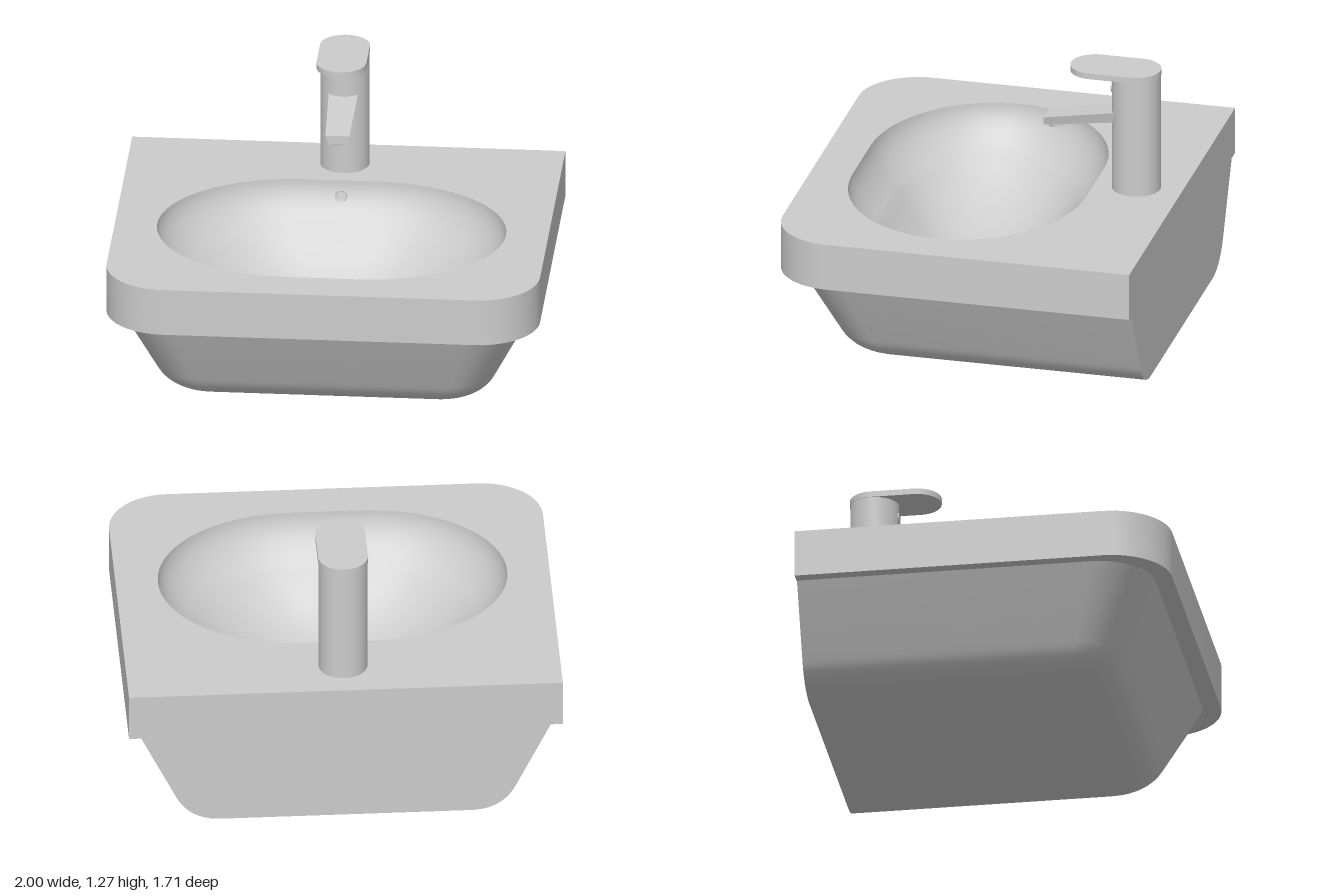
import * as THREE from 'three';
import { toCreasedNormals } from 'three/addons/utils/BufferGeometryUtils.js';

const material = new THREE.MeshStandardMaterial({ color: 0xcccccc });

function addMesh(parent, name, geometry) {
  const mesh = new THREE.Mesh(geometry, material);
  mesh.name = name;
  parent.add(mesh);
  return mesh;
}

// Skin a list of closed rings that all have the same number of points
function loft(rings, crease = 0.5) {
  const n = rings[0].length;
  const index = [];
  for (let i = 0; i < rings.length - 1; i++) {
    for (let j = 0; j < n; j++) {
      const a = i * n + j, b = i * n + (j + 1) % n;
      const d = a + n, c = b + n;
      if (!rings[i + 1][j].equals(rings[i + 1][(j + 1) % n])) index.push(a, d, c);
      if (!rings[i][j].equals(rings[i][(j + 1) % n])) index.push(a, c, b);
    }
  }
  const geometry = new THREE.BufferGeometry().setFromPoints(rings.flat());
  geometry.setIndex(index);
  return toCreasedNormals(geometry, crease);
}

// Oval with elliptical ends and short straight front and back
const BOWL_Z = 0.11;
function ovalRing(half, rx, rz, y) {
  const points = [];
  for (const side of [0, 1]) {
    for (let i = 0; i <= 32; i++) {
      const a = -Math.PI / 2 + Math.PI * (side + i / 32);
      const x = (side ? -half : half) + rx * Math.cos(a);
      points.push(new THREE.Vector3(x, y, BOWL_Z + rz * Math.sin(a)));
    }
  }
  return points;
}

// Outline with a square back and two rounded front corners
function frontRounded(w, back, front, r, y) {
  const points = [new THREE.Vector3(w, y, back)];
  for (const side of [0, 1]) {
    for (let i = 0; i <= 14; i++) {
      const a = (Math.PI / 2) * (side + i / 14);
      const x = (side ? r - w : w - r) + r * Math.cos(a);
      points.push(new THREE.Vector3(x, y, front - r + r * Math.sin(a)));
    }
  }
  points.push(new THREE.Vector3(-w, y, back));
  return points;
}

const flat = (ring) => ring.map((p) => new THREE.Vector2(p.x, p.z));

function createBasin() {
  const basin = new THREE.Group();
  basin.name = 'basin';

  // Thick rim slab with the bowl opening
  const outline = new THREE.Shape(flat(frontRounded(1, -0.857, 0.857, 0.28, 0)));
  outline.holes.push(new THREE.Path(flat(ovalRing(0.17, 0.635, 0.553, 0))));
  const slab = new THREE.ExtrudeGeometry(outline, { depth: 0.225, bevelEnabled: false });
  slab.rotateX(Math.PI / 2).translate(0, 0.68, 0);
  addMesh(basin, 'rimSlab', toCreasedNormals(slab, 0.5));

  // Tapered underside: rounded bottom edge, then straight sloping walls
  const bodyRing = (inset, y) =>
    frontRounded(0.945 - inset, -0.855, 0.775 - inset, 0.26 - inset * 0.4, y);
  const bottom = bodyRing(0.37, 0);
  const rings = [bottom.map(() => new THREE.Vector3(0, 0, -0.2))];
  const edge = new THREE.QuadraticBezierCurve(
    new THREE.Vector2(0.37, 0), new THREE.Vector2(0.225, 0), new THREE.Vector2(0.163, 0.125));
  for (const p of edge.getPoints(10)) rings.push(bodyRing(p.x, p.y));
  rings.push(bodyRing(0, 0.456));
  addMesh(basin, 'underside', loft(rings));

  // Bowl: concave wall, small step, then a dished floor
  const bowl = [];
  for (let i = 0; i <= 12; i++) {
    const t = i / 12, inset = t ** 1.8;
    bowl.push(ovalRing(0.17, 0.635 - 0.125 * inset, 0.553 - 0.11 * inset, 0.68 - 0.2 * t));
  }
  for (let i = 0; i <= 16; i++) {
    const s = 1 - i / 16;
    bowl.push(ovalRing(0.17 * s, 0.5 * s, 0.434 * s, 0.2 + 0.272 * s ** 2.2));
  }
  addMesh(basin, 'bowl', loft(bowl, 0.4));

  // Domed drain cap
  const drain = addMesh(basin, 'drainCap',
    new THREE.SphereGeometry(0.083, 32, 10, 0, Math.PI * 2, 0, Math.PI / 2));
  drain.scale.y = 0.35;
  drain.position.set(-0.01, 0.205, 0.105);

  // Overflow opening in the back wall
  const overflow = new THREE.Group();
  overflow.name = 'overflow';
  overflow.position.set(0, 0.61, -0.424);
  overflow.rotation.x = -0.25;
  addMesh(overflow, 'overflowRing', new THREE.TorusGeometry(0.025, 0.004, 8, 24));
  addMesh(overflow, 'overflowDisc', new THREE.CircleGeometry(0.025, 24)).position.z = 0.001;
  basin.add(overflow);
  return basin;
}

function createFaucet() {
  const faucet = new THREE.Group();
  faucet.name = 'faucet';
  const R = 0.113, Z = -0.64;

  // Column
  addMesh(faucet, 'column', new THREE.CylinderGeometry(R, R, 0.57, 48))
    .position.set(0, 0.965, Z);

  // Flat lever with round ends
  const lever = new THREE.Shape();
  lever.absarc(0, -0.445, R + 0.002, 0, Math.PI);
  lever.absarc(0, Z, R + 0.002, Math.PI, Math.PI * 2);
  const leverGeometry = new THREE.ExtrudeGeometry(lever,
    { depth: 0.028, bevelEnabled: false, curveSegments: 24 });
  leverGeometry.rotateX(Math.PI / 2).translate(0, 1.275, 0);
  addMesh(faucet, 'lever', toCreasedNormals(leverGeometry, 0.5));

  // Spout: a box tapered towards its tip and sloping down
  const spout = new THREE.BoxGeometry(1, 1, 1);
  const p = spout.attributes.position;
  for (let i = 0; i < p.count; i++) {
    const tip = p.getZ(i) > 0, top = p.getY(i) > 0;
    const halfWidth = (tip ? 0.055 : 0.068) - (top ? 0 : 0.011);
    const y = tip ? (top ? 1.006 : 0.966) : (top ? 1.07 : 1.018);
    p.setXYZ(i, Math.sign(p.getX(i)) * halfWidth, y, tip ? -0.212 : -0.56);
  }
  spout.computeVertexNormals();
  addMesh(faucet, 'spout', spout);

  // Outlet under the spout tip
  const outlet = addMesh(faucet, 'outlet', new THREE.CylinderGeometry(0.04, 0.04, 0.02, 24));
  outlet.position.set(0, 0.967, -0.265);
  outlet.rotation.x = 0.17;

  // Round button on the front of the column
  const button = addMesh(faucet, 'button', new THREE.CylinderGeometry(0.03, 0.03, 0.02, 24));
  button.rotation.x = Math.PI / 2;
  button.position.set(0, 1.177, Z + R - 0.008);
  return faucet;
}

export function createModel() {
  const model = new THREE.Group();
  model.name = 'washbasin';
  model.add(createBasin(), createFaucet());
  return model;
}
